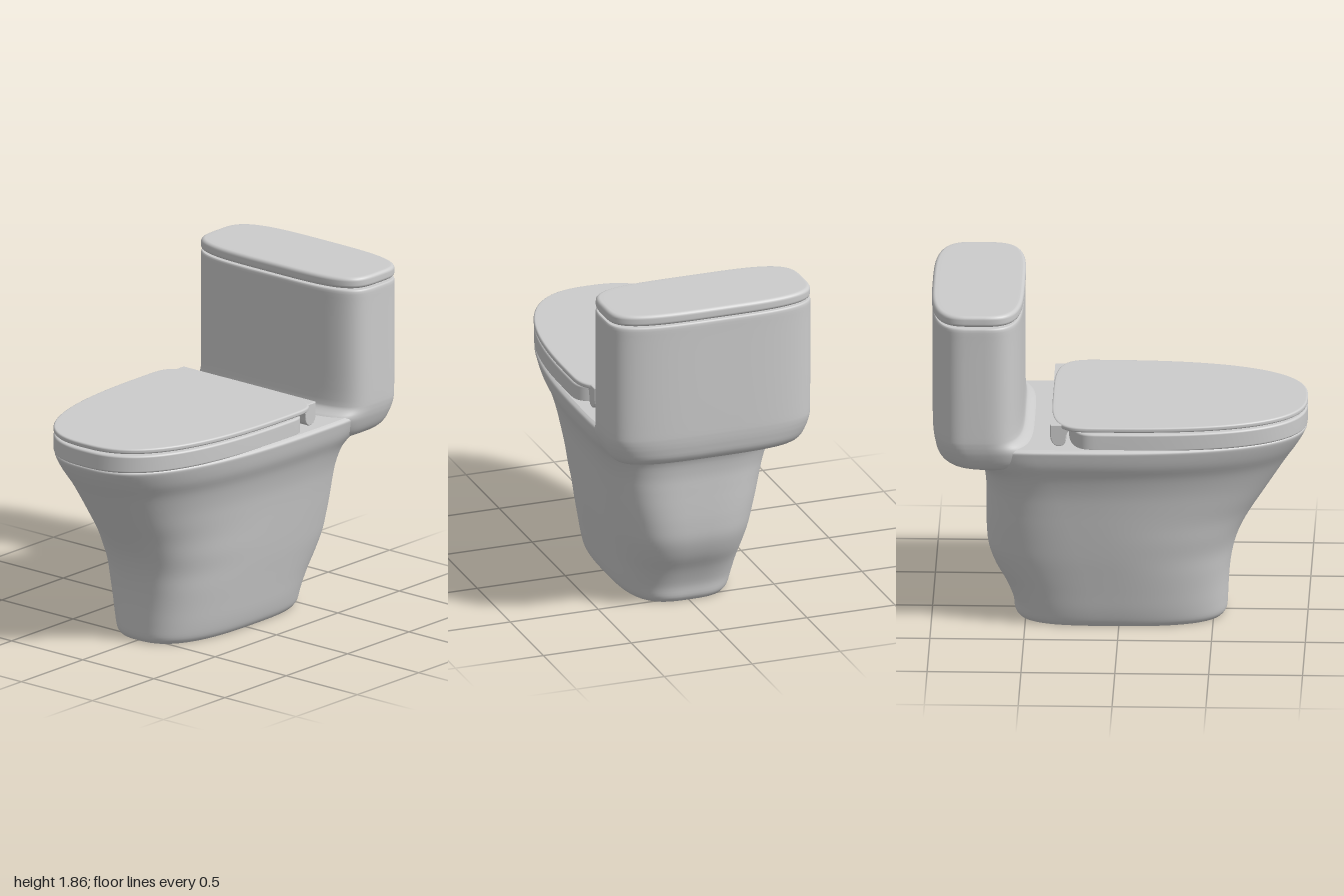
import * as THREE from 'three';

const SIDES = 112;
const material = new THREE.MeshStandardMaterial({ color: 0xcccccc, roughness: 0.5 });

// Smooth value through four neighbouring samples
function spline(a, b, c, d, t) {
  return b + 0.5 * t * (c - a + t * (2 * a - 5 * b + 4 * c - d + t * (3 * (b - c) + d - a)));
}

// Insert in-between sections so a few key sections give a smooth skin
function refine(keys, steps) {
  const out = [];
  const at = (i) => keys[Math.min(Math.max(i, 0), keys.length - 1)];
  for (let i = 0; i < keys.length - 1; i++) {
    for (let s = 0; s < steps; s++) {
      out.push(keys[i].map((_, k) =>
        spline(at(i - 1)[k], at(i)[k], at(i + 1)[k], at(i + 2)[k], s / steps)));
    }
  }
  out.push(at(keys.length - 1));
  return out;
}

// Horizontal outline: two half superellipses meeting at the widest point.
// Section: [y, xFront, xWidest, xBack, halfWidth, frontPower, backPower]
function outline([y, x0, xc, x1, w, nf, nb]) {
  const ring = [];
  for (let j = 0; j < SIDES; j++) {
    const t = (j / SIDES) * Math.PI * 2;
    const c = Math.cos(t), s = Math.sin(t);
    const n = c < 0 ? nf : nb;
    const reach = c < 0 ? x0 - xc : x1 - xc;
    ring.push([
      xc + reach * Math.pow(Math.abs(c), 2 / n), y,
      w * Math.sign(s) * Math.pow(Math.abs(s), 2 / n),
    ]);
  }
  return ring;
}

// Skin through stacked sections, closed with flat caps
function loft(name, sections) {
  const pos = [], idx = [];
  const rings = sections.map(outline);
  rings.forEach((ring) => ring.forEach((p) => pos.push(...p)));
  for (let i = 0; i < rings.length - 1; i++) {
    for (let j = 0; j < SIDES; j++) {
      const k = (j + 1) % SIDES;
      const a = i * SIDES + j, b = i * SIDES + k;
      idx.push(a, a + SIDES, b, b, a + SIDES, b + SIDES);
    }
  }
  [0, rings.length - 1].forEach((r, top) => {
    const base = pos.length / 3;
    rings[r].forEach((p) => pos.push(...p));
    pos.push(sections[r][2], sections[r][0], 0);
    for (let j = 0; j < SIDES; j++) {
      const a = base + j, b = base + ((j + 1) % SIDES), c = base + SIDES;
      idx.push(...(top ? [c, b, a] : [c, a, b]));
    }
  });
  const geo = new THREE.BufferGeometry();
  geo.setAttribute('position', new THREE.Float32BufferAttribute(pos, 3));
  geo.setIndex(idx);
  geo.computeVertexNormals();
  const mesh = new THREE.Mesh(geo, material);
  mesh.name = name;
  return mesh;
}

// Flat plate of a given outline with rounded top and bottom edges
function slab(name, y0, y1, r, [x0, xc, x1, w, nf, nb]) {
  const sections = [];
  const add = (y, inset) => sections.push([y, x0 + inset, xc, x1 - inset, w - inset, nf, nb]);
  const steps = 5;
  add(y0, r * 2);
  for (let i = 0; i <= steps; i++) {
    const a = (i / steps) * Math.PI / 2;
    add(y0 + r * (1 - Math.sin(a)), r * (1 - Math.cos(a)));
  }
  sections.splice(1, steps + 1, ...sections.slice(1));
  for (let i = 0; i <= steps; i++) {
    const a = (i / steps) * Math.PI / 2;
    add(y1 - r * (1 - Math.sin(a)), r * (1 - Math.cos(a)));
  }
  add(y1, r * 2);
  // order the lower edge from the underside outwards
  const lower = sections.slice(1, steps + 2).sort((a, b) => a[0] - b[0]);
  return loft(name, [sections[0], ...lower, ...sections.slice(steps + 2)]);
}

export function createModel() {
  const group = new THREE.Group();
  group.name = 'toilet';

  // Pedestal and bowl in one skin
  group.add(loft('bowl', refine([
    [0.00, -0.55, 0.05, 0.54, 0.285, 2.7, 3.2],
    [0.03, -0.57, 0.05, 0.56, 0.305, 2.7, 3.2],
    [0.10, -0.575, 0.06, 0.57, 0.325, 2.7, 3.2],
    [0.20, -0.58, 0.07, 0.61, 0.345, 2.7, 3.2],
    [0.30, -0.59, 0.09, 0.665, 0.365, 2.7, 3.2],
    [0.40, -0.61, 0.11, 0.70, 0.385, 2.6, 3.3],
    [0.50, -0.645, 0.13, 0.71, 0.403, 2.6, 3.4],
    [0.60, -0.70, 0.16, 0.712, 0.42, 2.5, 3.5],
    [0.70, -0.765, 0.20, 0.712, 0.437, 2.5, 3.5],
    [0.80, -0.83, 0.24, 0.715, 0.457, 2.5, 3.5],
    [0.90, -0.895, 0.28, 0.74, 0.488, 2.5, 3.5],
    [0.98, -0.95, 0.32, 0.82, 0.525, 2.55, 3.5],
    [1.05, -0.99, 0.34, 0.88, 0.543, 2.6, 3.5],
    [1.075, -0.995, 0.34, 0.89, 0.545, 2.6, 3.5],
    [1.088, -0.975, 0.34, 0.88, 0.525, 2.6, 3.5],
  ], 4)));

  // Tank, rounded underneath and flared where it meets the deck
  group.add(loft('tank', refine([
    [0.93, 0.56, 0.66, 0.74, 0.42, 4, 3.5],
    [0.955, 0.52, 0.69, 0.86, 0.48, 4, 3.5],
    [0.975, 0.49, 0.71, 0.935, 0.515, 4, 3.5],
    [1.01, 0.46, 0.73, 0.972, 0.54, 4, 3.5],
    [1.06, 0.44, 0.75, 0.985, 0.56, 4, 3.5],
    [1.09, 0.455, 0.76, 0.99, 0.568, 4, 3.5],
    [1.12, 0.492, 0.77, 0.993, 0.573, 4, 3.5],
    [1.17, 0.508, 0.77, 0.995, 0.576, 4, 3.5],
    [1.40, 0.51, 0.77, 0.996, 0.577, 4, 3.5],
    [1.70, 0.51, 0.77, 0.996, 0.577, 4, 3.5],
    [1.78, 0.51, 0.77, 0.996, 0.577, 4, 3.5],
    [1.79, 0.52, 0.77, 0.986, 0.567, 4, 3.5],
  ], 3)));
  group.add(slab('tankLid', 1.798, 1.86, 0.02, [0.507, 0.77, 1.0, 0.575, 4, 3.5]));

  // Seat and its cover
  group.add(slab('seat', 1.078, 1.175, 0.012, [-1.0, 0.08, 0.27, 0.515, 2.6, 4]));
  group.add(slab('seatCover', 1.186, 1.214, 0.01, [-1.0, 0.1, 0.36, 0.52, 2.6, 4]));

  // Hinge bar hanging from the back edge of the cover
  const profile = new THREE.Shape();
  profile.moveTo(0.25, 1.205);
  profile.lineTo(0.355, 1.205);
  profile.lineTo(0.355, 1.14);
  profile.bezierCurveTo(0.35, 1.08, 0.285, 1.08, 0.28, 1.125);
  profile.quadraticCurveTo(0.28, 1.18, 0.25, 1.187);
  profile.closePath();
  const hingeGeo = new THREE.ExtrudeGeometry(profile, {
    depth: 0.92, curveSegments: 10, bevelThickness: 0.008, bevelSize: 0.005, bevelSegments: 3,
  });
  hingeGeo.translate(0, 0, -0.46);
  const hinge = new THREE.Mesh(hingeGeo, material);
  hinge.name = 'hingeBar';
  group.add(hinge);

  return group;
}
